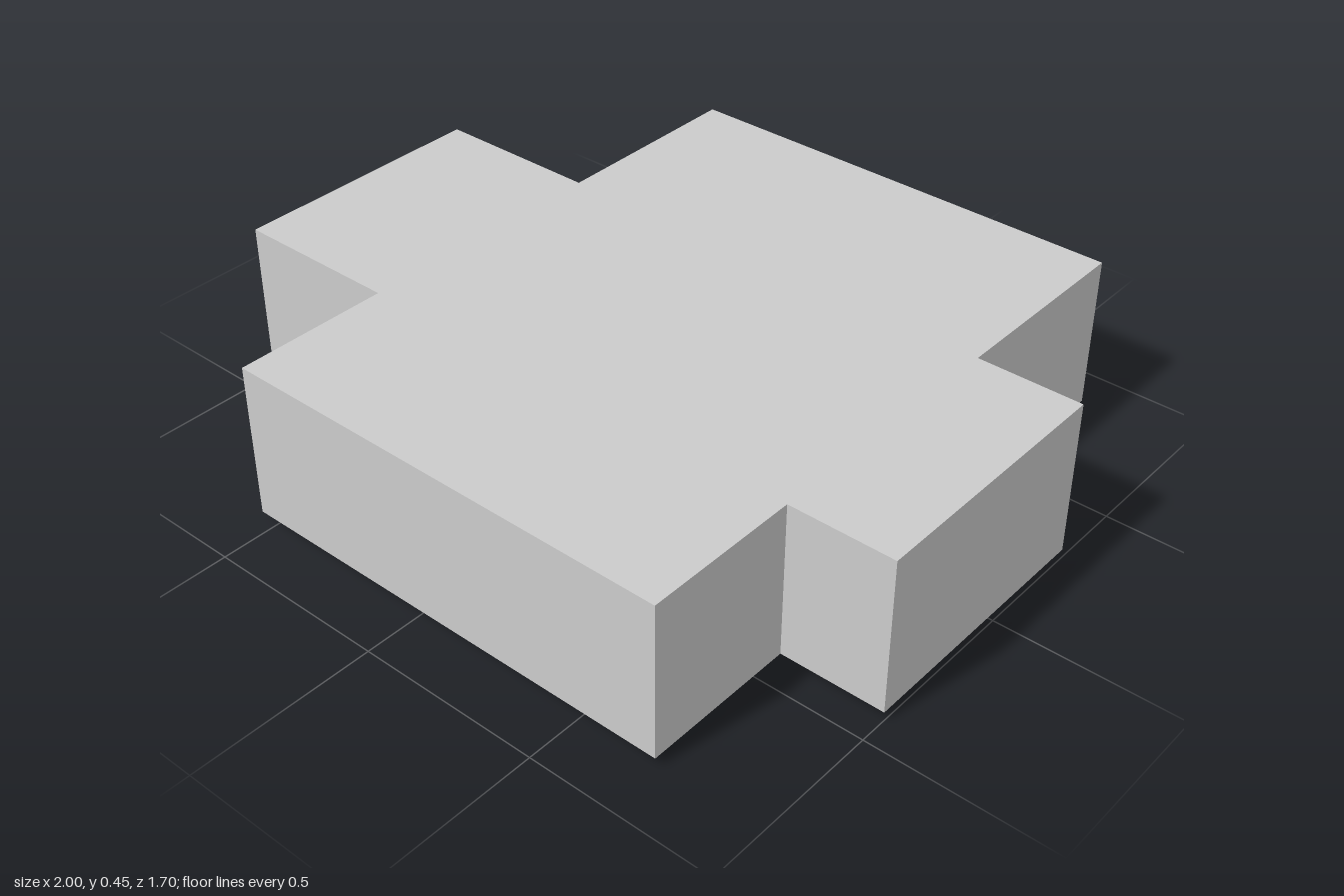
import * as THREE from 'three';

const grey = new THREE.MeshStandardMaterial({ color: 0xcccccc, flatShading: true });

// Flat prism: outline given as [x, z] points, between heights bottom and top
function prism(name, outline, bottom, top) {
  const shape = new THREE.Shape(outline.map(([x, z]) => new THREE.Vector2(x, z)));
  const geometry = new THREE.ExtrudeGeometry(shape, { depth: top - bottom, bevelEnabled: false });
  geometry.rotateX(Math.PI / 2).translate(0, top, 0);
  const mesh = new THREE.Mesh(geometry, grey);
  mesh.name = name;
  return mesh;
}

const rect = (x0, x1, z0, z1) => [[x0, z0], [x1, z0], [x1, z1], [x0, z1]];

export function createModel() {
  const group = new THREE.Group();
  group.name = 'crossBlock';

  // Cross-shaped body with uneven arms
  group.add(prism('body', [
    [-0.54, -0.848], [0.718, -0.848], [0.718, -0.293], [1, -0.293],
    [1, 0.425], [0.718, 0.425], [0.718, 0.848], [-0.54, 0.848],
    [-0.54, 0.425], [-1, 0.425], [-1, -0.293], [-0.54, -0.293],
  ], 0.025, 0.447));

  // Thin plate under the body
  group.add(prism('basePlate', rect(-0.478, 0.478, -0.318, 0.318), 0.01, 0.025));

  // Small pads under the plate, repeated with a half turn
  for (const s of [1, -1]) {
    const turn = (points) => points.map(([x, z]) => [x * s, z * s]);
    const side = s > 0 ? 'Front' : 'Back';
    group.add(prism('squarePad' + side, turn(rect(0.178, 0.292, 0.09, 0.18)), 0.003, 0.01));
    group.add(prism('tabbedPad' + side, turn([
      [-0.117, 0.18], [-0.117, 0.12], [-0.05, 0.12], [-0.05, 0.09],
      [0.05, 0.09], [0.05, 0.12], [0.117, 0.12], [0.117, 0.18],
    ]), 0, 0.01));
  }
  return group;
}
